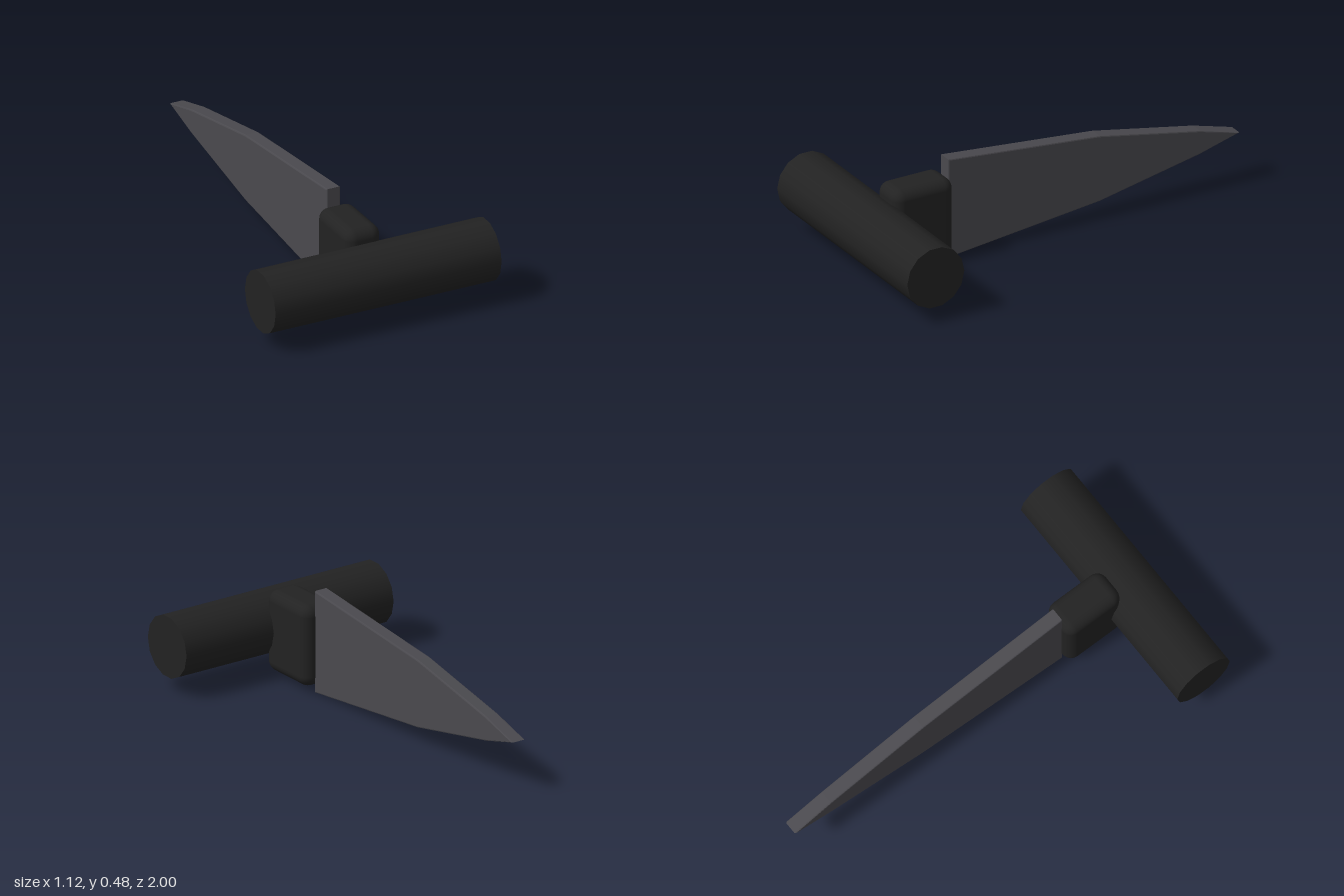
import * as THREE from 'three';
import { RoundedBoxGeometry } from 'three/addons/geometries/RoundedBoxGeometry.js';

export function createModel() {
  const group = new THREE.Group();
  const gripBlack = new THREE.MeshStandardMaterial({ color: 0x222222 });
  gripBlack.name = 'gripBlack';
  const steelGrey = new THREE.MeshStandardMaterial({ color: 0x4a494e });
  steelGrey.name = 'steelGrey';

  const add = (name, geometry, material, x, y, z) => {
    const mesh = new THREE.Mesh(geometry, material);
    mesh.name = name;
    mesh.position.set(x, y, z);
    group.add(mesh);
  };

  // Crossbar handle, lying along x
  const bar = new THREE.CylinderGeometry(0.145, 0.145, 1.116, 14);
  bar.rotateZ(Math.PI / 2);
  add('handle', bar, gripBlack, 0, 0.217, 0.855);

  // Rounded collar joining handle and blade
  add('collar', new RoundedBoxGeometry(0.176, 0.38, 0.305, 4, 0.05), gripBlack, 0, 0.215, 0.627);

  // Tapered blade: side outline with length along -z, edges slightly bevelled
  const outline = [
    [-0.48, 0], [0.29, 0.083], [0.8, 0.185], [1, 0.241],
    [0.8, 0.299], [0.29, 0.401], [-0.48, 0.478],
  ].map(([x, y]) => new THREE.Vector2(x, y));
  const bevel = 0.006;
  const width = 0.068;
  const blade = new THREE.ExtrudeGeometry(new THREE.Shape(outline), {
    depth: width - 2 * bevel,
    bevelEnabled: true,
    bevelSize: bevel,
    bevelThickness: bevel,
    bevelOffset: -bevel,
    bevelSegments: 2,
  });
  blade.translate(0, 0, bevel - width / 2);
  blade.rotateY(Math.PI / 2);
  add('blade', blade, steelGrey, 0, 0, 0);

  return group;
}
